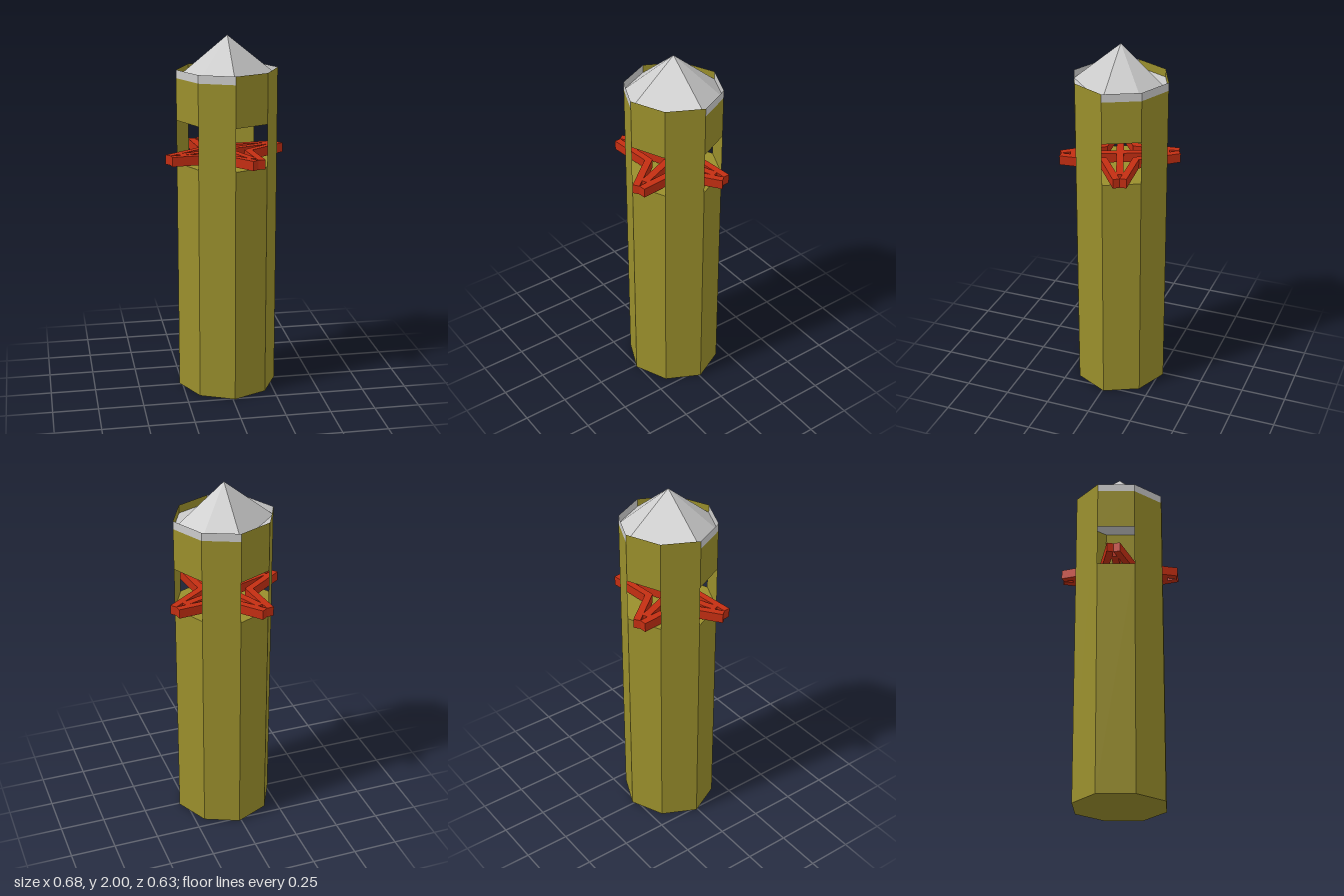
import * as THREE from 'three';

const CX = 0.012, CZ = -0.008;
const FLOOR = 1.31, LINTEL = 1.545, EAVES = 1.775, TOP = 1.82, APEX = 2;

// Corners of the slightly squashed octagon, from +x round towards +z
const RING = [[0.278, 0], [0.186, 0.185], [0, 0.266], [-0.186, 0.185],
  [-0.278, 0], [-0.186, -0.185], [0, -0.266], [0.186, -0.185]];
const corner = (k, y) => {
  const [x, z] = RING[((k % 8) + 8) % 8];
  return [x + CX, y, z + CZ];
};

const material = (color) =>
  new THREE.MeshStandardMaterial({ color, flatShading: true, side: THREE.DoubleSide });

// Flat-shaded mesh from a list of corner triples
function facets(name, points, mat) {
  const g = new THREE.BufferGeometry();
  g.setAttribute('position', new THREE.Float32BufferAttribute(points.flat(), 3));
  g.computeVertexNormals();
  const mesh = new THREE.Mesh(g, mat);
  mesh.name = name;
  return mesh;
}

// One upright panel on side k of the octagon
function panel(k, y0, y1) {
  const a0 = corner(k, y0), a1 = corner(k, y1), b0 = corner(k + 1, y0), b1 = corner(k + 1, y1);
  return [a0, a1, b0, b0, a1, b1];
}

// Horizontal octagon, facing up or down
function disc(y, up) {
  const pts = [];
  for (let k = 0; k < 8; k++) {
    const a = corner(k, y), b = corner(k + 1, y), c = [CX, y, CZ];
    pts.push(c, ...(up ? [b, a] : [a, b]));
  }
  return pts;
}

export function createModel() {
  const model = new THREE.Group();
  model.name = 'tower';
  const olive = material(0x9a8f2c), grey = material(0xcccccc), red = material(0xc42e12);

  // Shaft: every other side has a full-width opening; parapet colour alternates by quarter
  const walls = [], parapet = [];
  for (let k = 0; k < 8; k++) {
    const greyTop = k % 4 >= 2;
    const wallTop = greyTop ? EAVES : TOP;
    if (k % 2) walls.push(...panel(k, 0, FLOOR), ...panel(k, LINTEL, wallTop));
    else walls.push(...panel(k, 0, wallTop));
    if (greyTop) parapet.push(...panel(k, EAVES, TOP));
  }
  model.add(facets('walls', walls, olive));
  model.add(facets('base', disc(0, false), olive));
  model.add(facets('chamberFloor', disc(FLOOR, true), olive));
  model.add(facets('parapet', parapet, grey));

  // Roof: six-sided spire standing on a flat octagonal slab
  const spire = [], feet = [0, 2, 3, 4, 6, 7];
  feet.forEach((k, i) => {
    const next = feet[(i + 1) % feet.length];
    spire.push([CX, APEX, CZ], corner(next, EAVES), corner(k, EAVES));
  });
  model.add(facets('roofSpire', spire, grey));
  model.add(facets('roofSlab', disc(EAVES, false), grey));

  // Four-pointed star of bars reaching out through the openings
  const star = new THREE.Group();
  star.name = 'star';
  const bar = (parent, name, u0, v0, u1, v1, width) => {
    const length = Math.hypot(u1 - u0, v1 - v0);
    const mesh = new THREE.Mesh(new THREE.BoxGeometry(length, 0.052, width), red);
    mesh.position.set((u0 + u1) / 2, 0, (v0 + v1) / 2);
    mesh.rotation.y = -Math.atan2(v1 - v0, u1 - u0);
    mesh.name = name;
    parent.add(mesh);
  };
  for (let i = 0; i < 4; i++) {
    const arm = new THREE.Group();
    arm.name = 'starArm';
    arm.rotation.y = THREE.MathUtils.degToRad(22 + 90 * i);
    for (const s of [-1, 1]) bar(arm, 'pointBar', 0.332, s * 0.018, 0.08, s * 0.09, 0.038);
    bar(arm, 'spokeBar', 0, 0, 0.276, 0, 0.04);
    star.add(arm);
  }
  star.scale.set(1.04, 1, 0.96);
  star.position.y = 1.354;
  model.add(star);

  return model;
}
